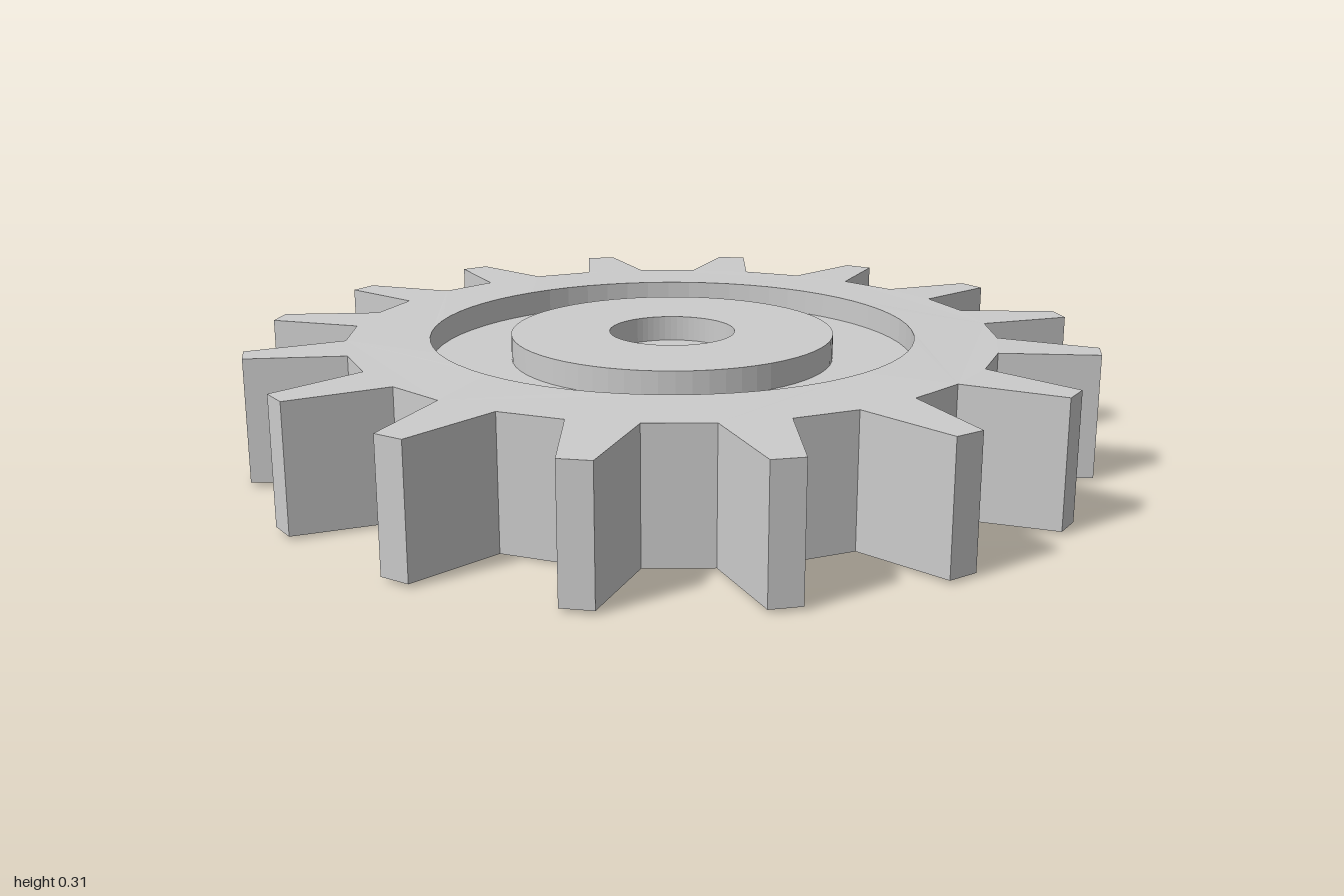
import * as THREE from 'three';

const TEETH = 16;
const HEIGHT = 0.31;
const TIP_R = 1.002, ROOT_R = 0.772, RIM_R = 0.576, HUB_R = 0.385, BORE_R = 0.15;
const POCKET = 0.06; // depth of the recesses on both faces
const TAPER = 0.008; // how much thinner each face gets toward the tooth tips
const SEGMENTS = 64;

// Point at a clockwise angle from the back of the wheel
const polar = (r, deg) => {
  const a = THREE.MathUtils.degToRad(deg);
  return new THREE.Vector2(r * Math.sin(a), r * Math.cos(a));
};

// Toothed ring with a large round opening
function rimGeometry() {
  const step = 360 / TEETH;
  const outline = [];
  for (let i = 0; i < TEETH; i++) {
    const a = i * step;
    const mid = a + step * 0.75;
    outline.push(
      polar(ROOT_R, a),
      polar(ROOT_R, a + step / 2),
      polar(TIP_R, mid - 2.05),
      polar(TIP_R, mid + 2.05)
    );
  }
  const shape = new THREE.Shape(outline);
  // The opening runs the opposite way round, so its wall faces inward
  const opening = [];
  for (let i = 0; i < SEGMENTS; i++) opening.push(polar(RIM_R, (-i * 360) / SEGMENTS));
  shape.holes.push(new THREE.Path(opening));

  const geo = new THREE.ExtrudeGeometry(shape, { depth: HEIGHT, bevelEnabled: false });
  geo.rotateX(-Math.PI / 2);

  // Thin the rim slightly toward the tips
  const p = geo.attributes.position;
  for (let i = 0; i < p.count; i++) {
    const r = Math.hypot(p.getX(i), p.getZ(i));
    const drop = (TAPER * Math.max(0, r - RIM_R)) / (TIP_R - RIM_R);
    p.setY(i, p.getY(i) > HEIGHT / 2 ? HEIGHT - drop : drop);
  }
  geo.computeVertexNormals();
  return geo;
}

// Recessed web, raised hub and blind bore, mirrored top to bottom
function hubGeometry() {
  const lower = [
    [0, POCKET], [BORE_R, POCKET], [BORE_R, 0],
    [HUB_R, 0], [HUB_R, POCKET], [RIM_R, POCKET],
  ];
  const upper = lower.map(([r, y]) => [r, HEIGHT - y]).reverse();
  const profile = [...lower, ...upper].map(([r, y]) => new THREE.Vector2(r, y));
  return new THREE.LatheGeometry(profile, SEGMENTS);
}

export function createModel() {
  const material = new THREE.MeshStandardMaterial({ color: 0xcccccc, flatShading: true });
  const gear = new THREE.Group();
  gear.name = 'gear';

  const rim = new THREE.Mesh(rimGeometry(), material);
  rim.name = 'toothedRim';

  const hub = new THREE.Mesh(hubGeometry(), material);
  hub.name = 'webAndHub';

  gear.add(rim, hub);
  return gear;
}
